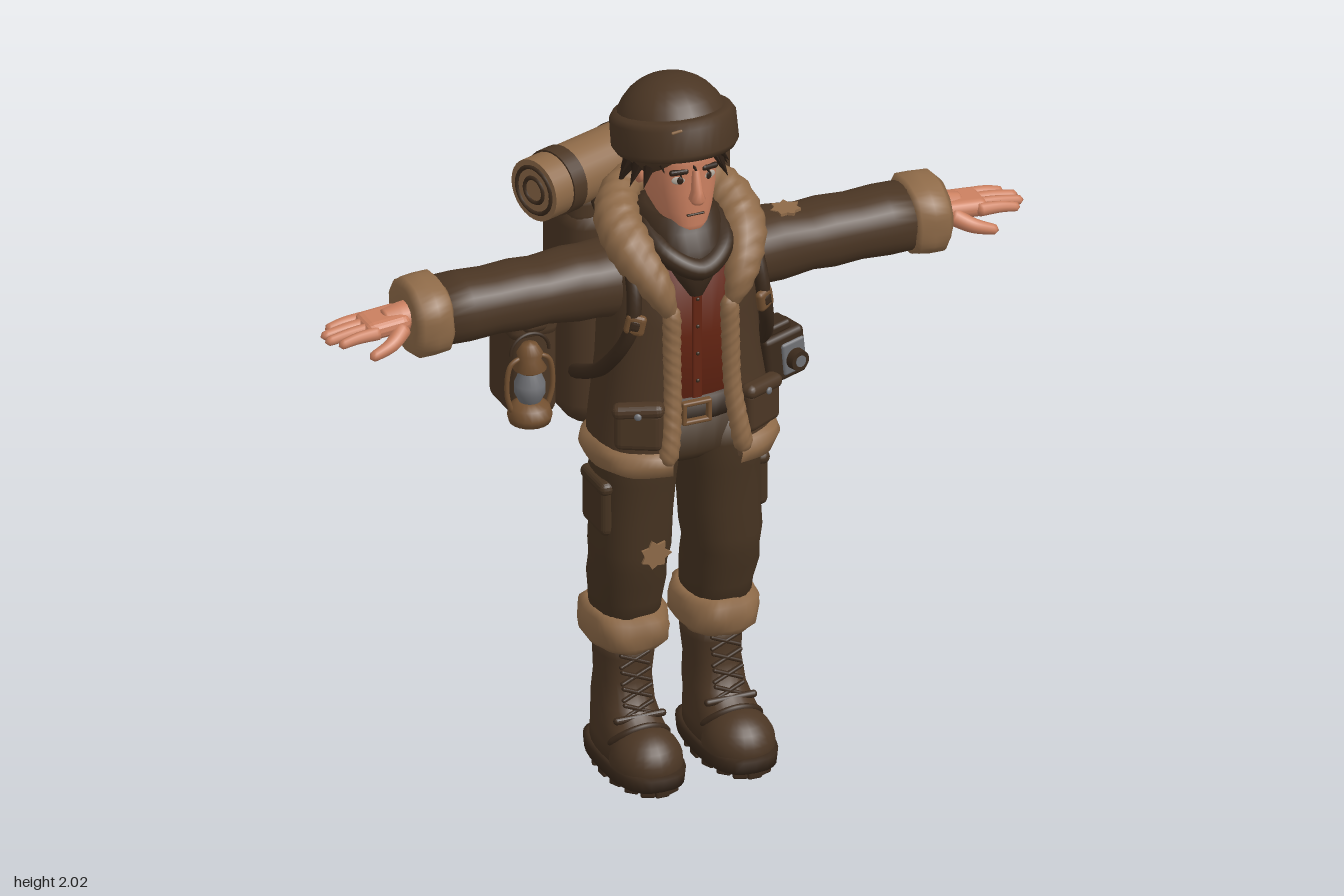
import * as THREE from 'three';
import { mergeVertices } from 'three/addons/utils/BufferGeometryUtils.js';
import { RoundedBoxGeometry } from 'three/addons/geometries/RoundedBoxGeometry.js';

const mat = (name, color, side = THREE.FrontSide) => Object.assign(new THREE.MeshStandardMaterial({ color, side }), { name });
const M = {
  cloth: mat('brown cloth', 0x4b3624, THREE.DoubleSide), trouser: mat('trouser brown', 0x463321),
  leather: mat('dark leather', 0x3b2a1c), hair: mat('dark hair', 0x2e2016, THREE.DoubleSide),
  fur: mat('tan fur', 0x8e6a48), skin: mat('skin', 0xcb8060), shirt: mat('rust shirt', 0x642412),
  metal: mat('grey metal', 0x6f7074), brass: mat('old brass', 0x735030), eye: mat('eye white', 0xb5aca0),
};
const V = (a) => new THREE.Vector3(...a);
const rbox = (w, h, d, r = 0.02) => new RoundedBoxGeometry(w, h, d, 2, Math.min(r, w / 2.1, h / 2.1, d / 2.1));
const cyl = (a, b, h, n = 20) => new THREE.CylinderGeometry(a, b, h, n);
const ball = (x, y, z) => new THREE.SphereGeometry(1, 24, 16).scale(x, y, z);

// Stacked rounded rings [y, rx, rz, cx, cz, frontGapAngle], bottom to top
function loft(rings, { n = 28, p = 2.3, fur = 0, open = false } = {}) {
  const pos = [], idx = [], cols = open ? n + 1 : n;
  const sp = (v) => Math.sign(v) * Math.abs(v) ** (2 / p);
  rings.forEach(([y, rx, rz, cx = 0, cz = 0, gap = 0], i) => {
    for (let j = 0; j < cols; j++) {
      const a = gap + (j / n) * 2 * (Math.PI - gap), k = 1 + fur * (Math.sin(9 * a + 2 * i) + Math.sin(5 * a - i)) / 2;
      pos.push(cx + rx * k * sp(Math.sin(a)), y, cz + rz * k * sp(Math.cos(a)));
      if (i && j < n) {
        const a0 = (i - 1) * cols + j, b0 = (i - 1) * cols + (j + 1) % cols;
        idx.push(a0, b0, b0 + cols, a0, b0 + cols, a0 + cols);
      }
    }
  });
  if (!open) [0, rings.length - 1].forEach((r, top) => {
    const [y, , , cx = 0, cz = 0] = rings[r], c = pos.length / 3;
    pos.push(cx, y, cz);
    for (let j = 0; j < n; j++) { const u = r * n + j, v = r * n + (j + 1) % n; top ? idx.push(c, u, v) : idx.push(c, v, u); }
  });
  const g = new THREE.BufferGeometry();
  g.setAttribute('position', new THREE.Float32BufferAttribute(pos, 3));
  g.setIndex(idx); g.computeVertexNormals();
  return g;
}
// Round-ended tube of changing radius along a curve
function sweep(pts, radii, { n = 32, m = 10, fur = 0 } = {}) {
  const curve = new THREE.CatmullRomCurve3(pts.map(V)), g = new THREE.TubeGeometry(curve, n, 1, m), P = g.attributes.position, v = new THREE.Vector3();
  for (let i = 0; i <= n; i++) {
    const u = i / n, c = curve.getPointAt(u), f = u * (radii.length - 1), q = Math.min(Math.floor(f), radii.length - 2);
    const k = Math.min(1, 10 * Math.min(u, 1 - u));
    const r = (radii[q] + ((radii[q + 1] ?? radii[q]) - radii[q]) * (f - q)) * Math.sqrt(1 - (1 - k) ** 2);
    for (let j = 0; j <= m; j++) {
      const t = i * (m + 1) + j, w = r * (1 + fur * Math.sin(2.3 * i + 3 * (j % m) * 2 * Math.PI / m));
      v.fromBufferAttribute(P, t).sub(c).multiplyScalar(w).add(c); P.setXYZ(t, v.x, v.y, v.z);
    }
  }
  g.deleteAttribute('uv'); g.deleteAttribute('normal');
  const out = mergeVertices(g, 1e-5); out.computeVertexNormals();
  return out;
}
function mirror(geo) {
  const g = geo.clone().scale(-1, 1, 1);
  const ix = g.index ? Array.from(g.index.array) : Array.from({ length: g.attributes.position.count }, (_, i) => i);
  for (let i = 0; i < ix.length; i += 3) [ix[i], ix[i + 1]] = [ix[i + 1], ix[i]];
  g.setIndex(ix); g.computeVertexNormals();
  return g;
}

export function createModel() {
  const root = new THREE.Group(); root.name = 'traveller';
  const put = (g, m, name, p = [0, 0, 0], r = [0, 0, 0], parent = root) => {
    const o = new THREE.Mesh(g, m); o.name = name; o.position.set(...p); o.rotation.set(...r); parent.add(o); return o;
  };
  const pair = (g, m, name, p = [0, 0, 0], r = [0, 0, 0]) => {
    put(g, m, name + 'Left', p, r); put(mirror(g), m, name + 'Right', [-p[0], p[1], p[2]], [r[0], -r[1], -r[2]]);
  };
  const patch = () => {
    const s = new THREE.Shape([...Array(14)].map((_, i) => { const a = i * Math.PI / 7, r = i % 2 ? 0.03 : 0.047 + 0.006 * Math.sin(i * 3); return new THREE.Vector2(r * Math.cos(a), r * Math.sin(a)); }));
    return new THREE.ExtrudeGeometry(s, { depth: 0.008, bevelEnabled: false });
  };

  // Boots with lugged soles, toe caps and crossed laces
  pair(loft([[0.02, 0.1, 0.19, 0.132, 0.175], [0.055, 0.103, 0.194, 0.132, 0.175], [0.06, 0.09, 0.18, 0.132, 0.175]], { p: 2.8 }), M.leather, 'bootSole');
  for (let k = 0; k < 16; k++) {
    const a = k * Math.PI / 8;
    pair(rbox(0.04, 0.035, 0.04, 0.006), M.leather, 'soleLug', [0.132 + 0.078 * Math.sin(a), 0.018, 0.175 + 0.168 * Math.cos(a)], [0, a, 0]);
  }
  pair(loft([[0.055, 0.092, 0.175, 0.132, 0.17], [0.1, 0.09, 0.165, 0.132, 0.16], [0.14, 0.08, 0.135, 0.132, 0.125], [0.18, 0.076, 0.105, 0.13, 0.095], [0.25, 0.072, 0.086, 0.128, 0.088], [0.32, 0.078, 0.088, 0.125, 0.088], [0.38, 0.08, 0.09, 0.125, 0.09]]), M.cloth, 'boot');
  pair(ball(0.097, 0.09, 0.105), M.cloth, 'toeCap', [0.132, 0.065, 0.25]);
  pair(sweep([[0.045, 0.1, 0.2], [0.08, 0.14, 0.235], [0.132, 0.155, 0.245], [0.185, 0.14, 0.235], [0.22, 0.1, 0.2]], [0.01, 0.01]), M.leather, 'toeSeam');
  for (let k = 0; k < 4; k++) for (const s of [-1, 1])
    pair(rbox(0.095, 0.011, 0.014, 0.005), M.leather, 'lace', [0.13, 0.185 + k * 0.045, 0.197 - k * 0.008], [0, 0, s * 0.42]);
  pair(rbox(0.15, 0.02, 0.02), M.leather, 'ankleStrap', [0.13, 0.165, 0.205]);

  // Trousers
  pair(loft([[0.4, 0.085, 0.1, 0.13, 0.1], [0.5, 0.092, 0.11, 0.13, 0.11], [0.56, 0.1, 0.113, 0.133, 0.125], [0.61, 0.096, 0.115, 0.133, 0.133], [0.66, 0.104, 0.12, 0.13, 0.138], [0.75, 0.104, 0.12, 0.125, 0.136], [0.87, 0.108, 0.132, 0.12, 0.136], [0.95, 0.112, 0.137, 0.114, 0.137], [1.02, 0.1, 0.13, 0.1, 0.137]]), M.trouser, 'trouserLeg');
  put(loft([[0.91, 0.1, 0.1, 0, 0.13], [0.95, 0.2, 0.137, 0, 0.137], [1.1, 0.19, 0.14, 0, 0.145]]), M.trouser, 'trouserHips');
  pair(rbox(0.04, 0.15, 0.14), M.trouser, 'cargoPocket', [0.22, 0.79, 0.14]);
  pair(rbox(0.045, 0.04, 0.15), M.trouser, 'cargoFlap', [0.222, 0.855, 0.14]);
  pair(loft([[0.355, 0.09, 0.115, 0.128, 0.095], [0.375, 0.107, 0.132, 0.128, 0.095], [0.41, 0.111, 0.138, 0.128, 0.096], [0.445, 0.107, 0.132, 0.128, 0.097], [0.465, 0.09, 0.11, 0.128, 0.1]], { fur: 0.05, n: 40 }), M.fur, 'furLegCuff');
  put(patch(), M.fur, 'kneePatch', [-0.11, 0.665, 0.255]);

  // Shirt and belt
  put(loft([[1.08, 0.17, 0.13, 0, 0.15], [1.3, 0.165, 0.13, 0, 0.15], [1.5, 0.16, 0.13, 0, 0.15]]), M.shirt, 'shirt');
  put(rbox(0.028, 0.36, 0.012), M.shirt, 'shirtPlacket', [0, 1.29, 0.28]);
  for (const y of [1.17, 1.25, 1.33, 1.41]) put(rbox(0.01, 0.01, 0.008), M.leather, 'shirtButton', [0, y, 0.287]);
  put(loft([[1.055, 0.185, 0.148, 0, 0.145], [1.12, 0.185, 0.148, 0, 0.148]]), M.leather, 'belt');
  for (const s of [-1, 1]) {
    put(rbox(0.085, 0.013, 0.02, 0.005), M.brass, 'beltBuckleBar', [-0.01, 1.088 + s * 0.027, 0.3]);
    put(rbox(0.013, 0.065, 0.02, 0.005), M.brass, 'beltBuckleSide', [-0.01 + s * 0.036, 1.088, 0.3]);
  }

  // Open jacket with sleeves and pockets
  put(loft([[0.95, 0.25, 0.178, 0, 0.165, 0.3], [1.05, 0.24, 0.172, 0, 0.163, 0.26], [1.2, 0.218, 0.162, 0, 0.155, 0.25], [1.35, 0.208, 0.162, 0, 0.15, 0.24], [1.47, 0.205, 0.158, 0, 0.145, 0.3], [1.54, 0.185, 0.135, 0, 0.135, 0.5], [1.6, 0.11, 0.1, 0, 0.12, 0.7]], { open: true, p: 2.5, n: 40 }), M.cloth, 'jacket');
  pair(loft([[0.08, 0.1, 0.11, 0, 0.12], [0.17, 0.102, 0.115, 0, 0.117], [0.24, 0.094, 0.108, 0, 0.115], [0.29, 0.096, 0.107, 0, 0.113], [0.38, 0.085, 0.1, 0, 0.112], [0.44, 0.09, 0.102, 0, 0.112], [0.52, 0.085, 0.098, 0, 0.112], [0.6, 0.09, 0.101, 0, 0.112], [0.69, 0.088, 0.098, 0, 0.112]]).rotateZ(-Math.PI / 2), M.cloth, 'sleeve', [0, 1.435, 0]);
  pair(loft([[0.66, 0.085, 0.095, 0, 0.113], [0.672, 0.102, 0.112, 0, 0.113], [0.71, 0.105, 0.115, 0, 0.113], [0.75, 0.102, 0.112, 0, 0.113], [0.768, 0.085, 0.09, 0, 0.113], [0.76, 0.04, 0.05, 0, 0.113]], { fur: 0.04, n: 40 }).rotateZ(-Math.PI / 2), M.fur, 'furSleeveCuff', [0, 1.435, 0]);
  put(patch(), M.fur, 'sleevePatch', [0.325, 1.525, 0.12], [-Math.PI / 2, 0, 0.4]);
  pair(rbox(0.13, 0.12, 0.04), M.cloth, 'jacketPocket', [0.175, 1.07, 0.3], [0, 0.5, 0]);
  pair(rbox(0.14, 0.04, 0.05), M.cloth, 'jacketPocketFlap', [0.176, 1.125, 0.3], [0, 0.5, -0.08]);
  pair(ball(0.01, 0.01, 0.006), M.metal, 'pocketSnap', [0.188, 1.118, 0.324], [0, 0.5, 0]);

  // Fur collar, front edges and hem
  const half = [[0.08, 1.37, 0.305], [0.115, 1.46, 0.3], [0.155, 1.545, 0.235], [0.16, 1.605, 0.13], [0.1, 1.645, 0.03]];
  put(sweep([...half, [0, 1.655, 0], ...half.map(([x, y, z]) => [-x, y, z]).reverse()], [0.025, 0.045, 0.062, 0.062, 0.05, 0.045, 0.05, 0.062, 0.062, 0.045, 0.025], { n: 70, m: 14, fur: 0.05 }), M.fur, 'furCollar');
  pair(sweep([[0.082, 1.42, 0.305], [0.084, 1.3, 0.308], [0.086, 1.15, 0.318], [0.1, 1.03, 0.335], [0.112, 0.96, 0.337]], [0.026, 0.024, 0.028], { n: 40, fur: 0.07 }), M.fur, 'furFrontEdge');
  put(loft([[0.925, 0.235, 0.165, 0, 0.167, 0.3], [0.935, 0.258, 0.188, 0, 0.167, 0.3], [0.965, 0.264, 0.194, 0, 0.167, 0.3], [0.99, 0.256, 0.188, 0, 0.166, 0.3], [1.0, 0.24, 0.17, 0, 0.165, 0.3]], { open: true, p: 2.5, n: 60, fur: 0.025 }), M.fur, 'furHem');

  // Hands
  pair(rbox(0.13, 0.05, 0.11, 0.024), M.skin, 'palm', [0.825, 1.435, 0.113], [0, 0, -0.08]);
  pair(sweep([[0.73, 1.44, 0.113], [0.77, 1.44, 0.113], [0.83, 1.437, 0.113]], [0.045, 0.04, 0.03]), M.skin, 'wrist');
  [0.97, 0.998, 1, 0.975].forEach((end, i) => {
    const z = 0.068 + i * 0.031;
    pair(sweep([[0.85, 1.432, z], [0.92, 1.43, z * 1.04 - 0.003], [end, 1.42, z * 1.08 - 0.006]], [0.019, 0.016, 0.012], { n: 14 }), M.skin, 'finger');
  });
  pair(sweep([[0.78, 1.43, 0.15], [0.83, 1.405, 0.187], [0.9, 1.382, 0.2]], [0.026, 0.02, 0.013], { n: 14 }), M.skin, 'thumb');

  // Scarf and head
  put(loft([[1.42, 0.02, 0.02, 0, 0.27], [1.47, 0.06, 0.07, 0, 0.235], [1.52, 0.1, 0.13, 0, 0.18], [1.56, 0.115, 0.14, 0, 0.16], [1.6, 0.112, 0.13, 0, 0.145], [1.635, 0.098, 0.115, 0, 0.14], [1.63, 0.075, 0.085, 0, 0.14]]), M.leather, 'scarf');
  put(sweep([[0.1, 1.61, 0.14], [0.08, 1.55, 0.27], [0, 1.51, 0.31], [-0.08, 1.55, 0.27], [-0.1, 1.61, 0.14]], [0.025, 0.03, 0.025]), M.leather, 'scarfFold');
  put(loft([[1.55, 0.05, 0.06, 0, 0.15], [1.595, 0.04, 0.055, 0, 0.215], [1.62, 0.06, 0.08, 0, 0.19], [1.66, 0.077, 0.11, 0, 0.163], [1.72, 0.09, 0.125, 0, 0.15], [1.76, 0.094, 0.125, 0, 0.147], [1.8, 0.096, 0.13, 0, 0.145], [1.87, 0.1, 0.13, 0, 0.14]], { p: 2.4 }), M.skin, 'head');
  put(loft([[1.692, 0.014, 0.018, 0, 0.28], [1.705, 0.022, 0.03, 0, 0.28], [1.73, 0.014, 0.025, 0, 0.277], [1.785, 0.01, 0.01, 0, 0.273]], { n: 10 }), M.skin, 'nose');
  put(rbox(0.05, 0.006, 0.008), M.leather, 'mouth', [0, 1.655, 0.272]);
  pair(ball(0.014, 0.032, 0.024), M.skin, 'ear', [0.1, 1.735, 0.13]);
  pair(ball(0.02, 0.012, 0.004), M.eye, 'eye', [0.043, 1.758, 0.262], [0, 0.28, 0]);
  pair(ball(0.009, 0.011, 0.004), M.hair, 'iris', [0.041, 1.758, 0.265], [0, 0.28, 0]);
  pair(rbox(0.052, 0.016, 0.016), M.hair, 'eyebrow', [0.044, 1.783, 0.264], [0, 0.28, -0.1]);

  // Hair below the cap
  put(loft([[1.68, 0.09, 0.11, 0, 0.12, 1.9], [1.73, 0.108, 0.135, 0, 0.125, 1.6], [1.79, 0.115, 0.145, 0, 0.13, 1.15], [1.87, 0.115, 0.145, 0, 0.13, 0.9]], { open: true }), M.hair, 'hairBack');
  const lock = new THREE.ConeGeometry(0.03, 0.12, 6).rotateX(Math.PI - 0.45);
  for (let k = 0; k < 14; k++) {
    const a = 1.0 + k * (2 * Math.PI - 2) / 13, low = Math.cos(a) < -0.1 ? 0.045 : 0;
    put(lock, M.hair, 'hairLock', [0.118 * Math.sin(a), 1.765 - low + 0.012 * (k % 2), 0.125 + 0.13 * Math.cos(a)], [0, a, 0]);
  }
  for (let k = 0; k < 6; k++) put(lock, M.hair, 'fringeLock', [-0.085 + k * 0.034, 1.825 - 0.012 * (k % 2), 0.255 - 6 * (k * 0.034 - 0.085) ** 2], [0, (k - 2.5) * 0.2, 0.45]);

  // Knitted cap, tipped back
  const cap = new THREE.Group(); cap.name = 'knittedCap'; cap.position.set(0, 1.85, 0.13); cap.rotation.x = -0.22; root.add(cap);
  put(ball(0.15, 0.142, 0.16), M.cloth, 'capCrown', [0, 0, -0.01], [0, 0, 0], cap);
  put(loft([[-0.06, 0.13, 0.145], [-0.058, 0.155, 0.17], [-0.04, 0.166, 0.182], [0.03, 0.165, 0.18], [0.046, 0.155, 0.168], [0.05, 0.135, 0.15]], { p: 2, n: 40 }), M.cloth, 'capBrim', [0, 0, 0], [0, 0, 0], cap);
  put(rbox(0.03, 0.008, 0.008), M.fur, 'capStitch', [-0.06, 0.03, 0.168], [0, -0.35, 0.2], cap);

  // Backpack body, lid, pockets and straps
  put(rbox(0.45, 0.66, 0.24, 0.07), M.cloth, 'packBody', [0.01, 1.225, -0.165]);
  put(rbox(0.43, 0.13, 0.24, 0.05), M.cloth, 'packLid', [0.01, 1.54, -0.175]);
  put(rbox(0.38, 0.16, 0.09, 0.03), M.cloth, 'packLidPocket', [0.01, 1.47, -0.28]);
  put(rbox(0.34, 0.27, 0.06, 0.03), M.cloth, 'packUpperPocket', [0.01, 1.26, -0.295]);
  put(rbox(0.4, 0.2, 0.11, 0.04), M.cloth, 'packLowerPocket', [0.01, 0.99, -0.29]);
  put(rbox(0.38, 0.07, 0.06, 0.025), M.cloth, 'packLowerFlap', [0.01, 1.065, -0.33]);
  put(sweep([[-0.04, 1.58, -0.25], [-0.04, 1.65, -0.26], [0.06, 1.65, -0.26], [0.06, 1.58, -0.25]], [0.014, 0.014]), M.leather, 'packHandle');
  for (const x of [-0.11, 0.01, 0.13]) {
    put(rbox(0.035, 0.3, 0.015), M.leather, 'packStrap', [x, 1.28, -0.325]);
    put(rbox(0.055, 0.035, 0.02), x === 0.01 ? M.leather : M.brass, 'packBuckle', [x, 1.44, -0.33]);
    put(rbox(0.05, 0.05, 0.018), M.leather, 'packLowerBuckle', [x, 1.03, -0.357]);
  }
  put(rbox(0.13, 0.28, 0.18, 0.03), M.cloth, 'sidePocketRight', [-0.295, 1.08, -0.18]);
  put(rbox(0.14, 0.08, 0.19, 0.03), M.cloth, 'sidePocketFlapRight', [-0.298, 1.21, -0.18]);
  put(rbox(0.12, 0.24, 0.17, 0.03), M.cloth, 'sidePocketLeft', [0.28, 1.04, -0.14]);
  put(rbox(0.13, 0.07, 0.18, 0.03), M.cloth, 'sidePocketFlapLeft', [0.283, 1.15, -0.14]);
  put(cyl(0.05, 0.05, 0.5), M.cloth, 'flask', [0.245, 1.36, -0.18]);
  put(cyl(0.055, 0.055, 0.06), M.leather, 'flaskCap', [0.245, 1.64, -0.18]);
  pair(sweep([[0.15, 1.6, -0.06], [0.17, 1.58, 0.1], [0.175, 1.52, 0.25], [0.19, 1.37, 0.29], [0.228, 1.22, 0.2], [0.23, 1.12, 0.02], [0.19, 1.08, -0.06]], [0.02, 0.02], { n: 48 }), M.leather, 'shoulderStrap');
  pair(rbox(0.055, 0.06, 0.025), M.brass, 'strapBuckle', [0.185, 1.38, 0.3], [0, 0.5, 0.2]);
  pair(rbox(0.036, 0.04, 0.028), M.leather, 'strapBuckleCentre', [0.185, 1.38, 0.301], [0, 0.5, 0.2]);

  // Bedroll tied across the pack
  const roll = new THREE.Group(); roll.name = 'bedroll'; roll.position.set(-0.115, 1.66, -0.09); roll.rotation.y = 0.34; root.add(roll);
  const across = [0, 0, Math.PI / 2];
  put(cyl(0.086, 0.086, 0.47, 28), M.fur, 'rolledBlanket', [0, 0, 0], across, roll);
  for (const s of [-1, 1]) {
    put(cyl(0.091, 0.091, 0.045, 28), M.cloth, 'bedrollStrap', [s * 0.15, 0, 0], across, roll);
    for (const r of [0.035, 0.065]) put(new THREE.TorusGeometry(r, 0.006, 6, 24), M.leather, 'rollLayer', [s * 0.235, 0, 0], [0, Math.PI / 2, 0], roll);
  }

  // Hanging lantern
  const lamp = new THREE.Group(); lamp.name = 'lantern'; lamp.position.set(-0.345, 0.98, -0.02); root.add(lamp);
  const turned = (pts, m, name) => put(new THREE.LatheGeometry(pts.map((q) => new THREE.Vector2(...q)), 20), m, name, [0, 0, 0], [0, 0, 0], lamp);
  turned([[0, 0], [0.055, 0], [0.06, 0.02], [0.052, 0.045], [0.03, 0.06], [0, 0.06]], M.brass, 'lanternBase');
  turned([[0.03, 0.06], [0.042, 0.085], [0.042, 0.11], [0.026, 0.15]], M.metal, 'lanternGlass');
  turned([[0.03, 0.145], [0.045, 0.155], [0.03, 0.18], [0.035, 0.2], [0.02, 0.225], [0, 0.23]], M.brass, 'lanternTop');
  for (const s of [-1, 1]) put(sweep([[s * 0.05, 0.03, 0], [s * 0.065, 0.09, 0], [s * 0.055, 0.17, 0], [s * 0.025, 0.19, 0]], [0.007, 0.007]), M.brass, 'lanternSideTube', [0, 0, 0], [0, 0, 0], lamp);
  put(new THREE.TorusGeometry(0.055, 0.005, 6, 20, Math.PI), M.leather, 'lanternHandle', [0, 0.2, 0], [0, 0, 0], lamp);
  put(rbox(0.07, 0.07, 0.07), M.cloth, 'lanternHanger', [0.02, 0.285, -0.03], [0, 0, 0], lamp);

  // Hanging camera
  const cam = new THREE.Group(); cam.name = 'camera'; cam.position.set(0.335, 1.07, 0.04); cam.rotation.set(0, 0.25, 0.1); root.add(cam);
  put(rbox(0.13, 0.14, 0.09, 0.015), M.leather, 'cameraBody', [0, 0, 0], [0, 0, 0], cam);
  put(rbox(0.07, 0.03, 0.06, 0.01), M.leather, 'cameraFinder', [0, 0.08, 0], [0, 0, 0], cam);
  put(rbox(0.075, 0.095, 0.02, 0.008), M.metal, 'cameraFrontPlate', [0.02, -0.005, 0.042], [0, 0, 0], cam);
  put(cyl(0.028, 0.03, 0.03), M.leather, 'cameraLens', [0.02, -0.01, 0.06], [Math.PI / 2, 0, 0], cam);
  put(cyl(0.016, 0.016, 0.004), M.metal, 'cameraGlass', [0.02, -0.01, 0.076], [Math.PI / 2, 0, 0], cam);
  put(sweep([[-0.05, 0.06, 0], [-0.06, 0.17, -0.03], [-0.1, 0.2, -0.08]], [0.013, 0.013]), M.leather, 'cameraStrap', [0, 0, 0], [0, 0, 0], cam);
  return root;
}
